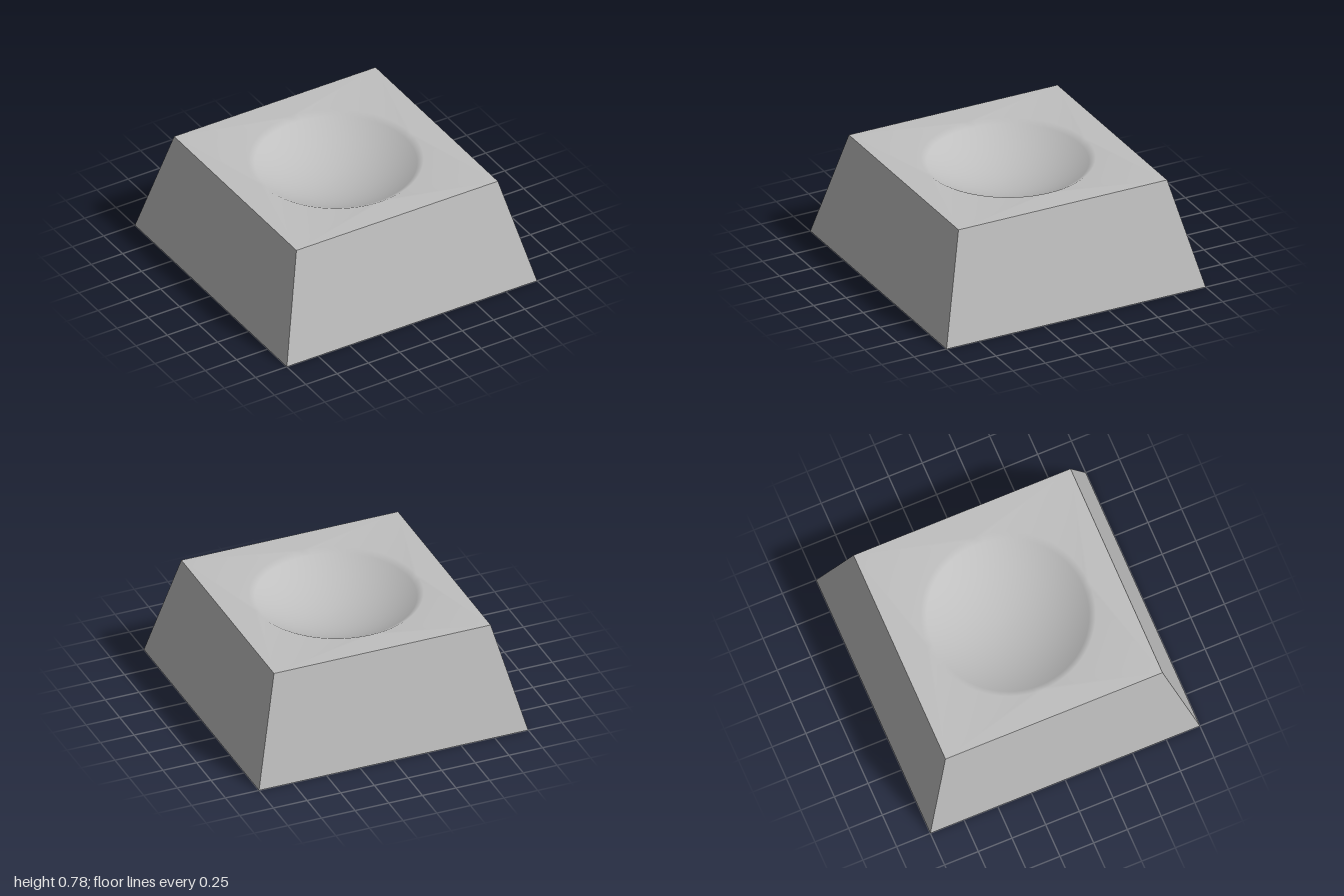
import * as THREE from 'three';

const TOP = 0.78, TOP_HALF = 0.805, BASE_HALF = 1;
const IN_TOP = 0.6, IN_TOP_HALF = 0.64, IN_BASE_HALF = 0.845;
const DISH_R = 0.6, DISH_DEPTH = 0.17;

// Four sloping walls, optionally turned to face inward
function walls(topHalf, baseHalf, h, inward) {
  const g = new THREE.CylinderGeometry(topHalf * Math.SQRT2, baseHalf * Math.SQRT2, h, 4, 1, true);
  g.rotateY(Math.PI / 4).translate(0, h / 2, 0);
  if (inward) {
    const ix = g.index;
    for (let i = 0; i < ix.count; i += 3) {
      const a = ix.getX(i);
      ix.setX(i, ix.getX(i + 1));
      ix.setX(i + 1, a);
    }
  }
  const flat = g.toNonIndexed();
  flat.computeVertexNormals();
  return flat;
}

function square(half, Type = THREE.Shape) {
  return new Type([[-1, -1], [1, -1], [1, 1], [-1, 1]].map(([x, y]) => new THREE.Vector2(x * half, y * half)));
}

// Square top with a spherical hollow, smooth across the rim of the hollow
function dishedTop() {
  const N = 64, RINGS = 12, pos = [], idx = [];
  const R = (DISH_R ** 2 + DISH_DEPTH ** 2) / (2 * DISH_DEPTH);
  const maxA = Math.asin(DISH_R / R);
  pos.push(0, TOP - DISH_DEPTH, 0);
  for (let r = 1; r <= RINGS; r++) {
    const a = (maxA * r) / RINGS;
    const y = TOP - DISH_DEPTH + R * (1 - Math.cos(a));
    for (let j = 0; j < N; j++) {
      const t = (j / N) * Math.PI * 2;
      pos.push(R * Math.sin(a) * Math.cos(t), y, R * Math.sin(a) * Math.sin(t));
    }
  }
  const at = (r, j) => 1 + (r - 1) * N + (j % N);
  for (let j = 0; j < N; j++) {
    idx.push(0, at(1, j + 1), at(1, j));
    for (let r = 1; r < RINGS; r++) {
      idx.push(at(r, j), at(r, j + 1), at(r + 1, j));
      idx.push(at(r, j + 1), at(r + 1, j + 1), at(r + 1, j));
    }
  }
  // Flat border: each quarter of the rim fans out to its corner
  const c0 = pos.length / 3;
  for (const [x, z] of [[1, 1], [-1, 1], [-1, -1], [1, -1]]) pos.push(x * TOP_HALF, TOP, z * TOP_HALF);
  for (let k = 0; k < 4; k++) {
    const first = (k * N) / 4;
    for (let j = first; j < first + N / 4; j++) idx.push(at(RINGS, j), at(RINGS, j + 1), c0 + k);
    idx.push(at(RINGS, first), c0 + k, c0 + ((k + 3) % 4));
  }
  const g = new THREE.BufferGeometry();
  g.setAttribute('position', new THREE.Float32BufferAttribute(pos, 3));
  g.setIndex(idx);
  g.computeVertexNormals();
  return g;
}

// Round post with a cross-shaped socket
function stemGeometry() {
  const bottom = 0.18, L = 0.228, wx = 0.064, wz = 0.073;
  const s = new THREE.Shape().absarc(0, 0, 0.303, 0, Math.PI * 2, false);
  const cross = [
    [L, -wx], [L, wx], [wz, wx], [wz, L], [-wz, L], [-wz, wx],
    [-L, wx], [-L, -wx], [-wz, -wx], [-wz, -L], [wz, -L], [wz, -wx],
  ];
  s.holes.push(new THREE.Path(cross.map(([x, y]) => new THREE.Vector2(x, y))));
  const g = new THREE.ExtrudeGeometry(s, { depth: IN_TOP - bottom, bevelEnabled: false, curveSegments: 48 });
  g.rotateX(Math.PI / 2).translate(0, IN_TOP, 0);
  // Smooth normals on the round outside
  const p = g.attributes.position, n = g.attributes.normal;
  for (let i = 0; i < p.count; i++) {
    const r = Math.hypot(p.getX(i), p.getZ(i));
    if (r > 0.29 && Math.abs(n.getY(i)) < 0.5) n.setXYZ(i, p.getX(i) / r, 0, p.getZ(i) / r);
  }
  return g;
}

export function createModel() {
  const group = new THREE.Group();
  group.name = 'keycap';
  const grey = new THREE.MeshStandardMaterial({ color: 0xc0c0c0 });
  grey.name = 'light grey plastic';
  const add = (name, geometry) => {
    const m = new THREE.Mesh(geometry, grey);
    m.name = name;
    group.add(m);
  };

  add('outerWalls', walls(TOP_HALF, BASE_HALF, TOP, false));
  add('dishedTop', dishedTop());
  add('innerWalls', walls(IN_TOP_HALF, IN_BASE_HALF, IN_TOP, true));

  // Underside rim and inner ceiling, both facing down
  const rim = square(BASE_HALF);
  rim.holes.push(square(IN_BASE_HALF, THREE.Path));
  add('bottomRim', new THREE.ShapeGeometry(rim).rotateX(Math.PI / 2));
  add('innerCeiling', new THREE.ShapeGeometry(square(IN_TOP_HALF)).rotateX(Math.PI / 2).translate(0, IN_TOP, 0));

  add('stem', stemGeometry());
  return group;
}
